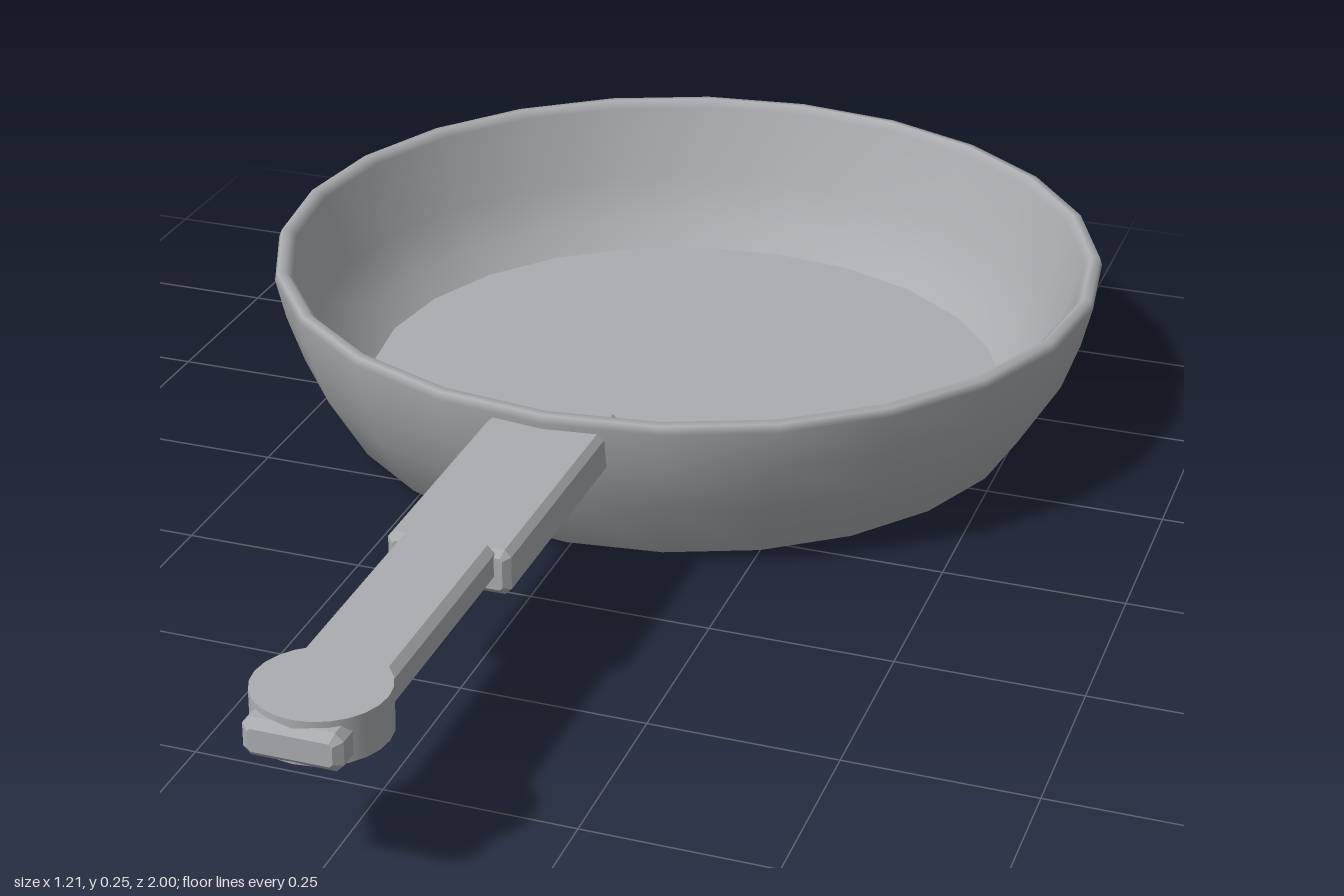
import * as THREE from 'three';

const metal = new THREE.MeshStandardMaterial({ color: 0xaaacaf });
metal.name = 'greyMetal';

const SIDES = 24;
const PAN_Z = -0.4;

function add(group, name, geometry, x = 0, y = 0, z = 0) {
  const mesh = new THREE.Mesh(geometry, metal);
  mesh.name = name;
  mesh.position.set(x, y, z);
  group.add(mesh);
  return mesh;
}

// Bar along z with chamfered long edges and bevelled ends
function barGeometry(halfWidth, y0, y1, z0, z1, c) {
  const w = halfWidth - c, b = y0 + c, t = y1 - c, k = c * 0.4;
  const s = new THREE.Shape();
  s.moveTo(-w + k, b);
  s.lineTo(w - k, b);
  s.lineTo(w, b + k);
  s.lineTo(w, t - k);
  s.lineTo(w - k, t);
  s.lineTo(-w + k, t);
  s.lineTo(-w, t - k);
  s.lineTo(-w, b + k);
  s.closePath();
  const g = new THREE.ExtrudeGeometry(s, {
    depth: z1 - z0 - 2 * c, bevelEnabled: true, bevelSegments: 1, bevelSize: c, bevelThickness: c,
  });
  return g.translate(0, 0, z0 + c);
}

export function createModel() {
  const model = new THREE.Group();
  model.name = 'fryingPan';

  // Pan: outer wall, rolled rim and inner wall in one smooth profile
  const pan = new THREE.Group();
  pan.name = 'pan';
  pan.position.z = PAN_Z;
  model.add(pan);
  const profile = [
    [0.485, 0], [0.51, 0.01], [0.566, 0.105], [0.59, 0.175], [0.604, 0.235],
    [0.6, 0.246], [0.588, 0.247], [0.578, 0.236], [0.545, 0.13], [0.505, 0.07], [0.47, 0.035],
  ].map(([r, y]) => new THREE.Vector2(r, y));
  add(pan, 'wall', new THREE.LatheGeometry(profile, SIDES));

  // Flat cooking surface and underside
  add(pan, 'floor', new THREE.CircleGeometry(0.47, SIDES).rotateX(-Math.PI / 2), 0, 0.035, 0);
  add(pan, 'base', new THREE.CircleGeometry(0.485, SIDES).rotateX(Math.PI / 2));

  // Handle: thick socket through the wall, thinner arm, round end
  const handle = new THREE.Group();
  handle.name = 'handle';
  model.add(handle);
  add(handle, 'socket', barGeometry(0.082, 0.165, 0.227, 0.12, 0.535, 0.009));
  add(handle, 'arm', barGeometry(0.062, 0.182, 0.232, 0.52, 1.0, 0.01));
  add(handle, 'endDisc', new THREE.CylinderGeometry(0.083, 0.083, 0.058, SIDES), 0, 0.211, 0.91);

  return model;
}
